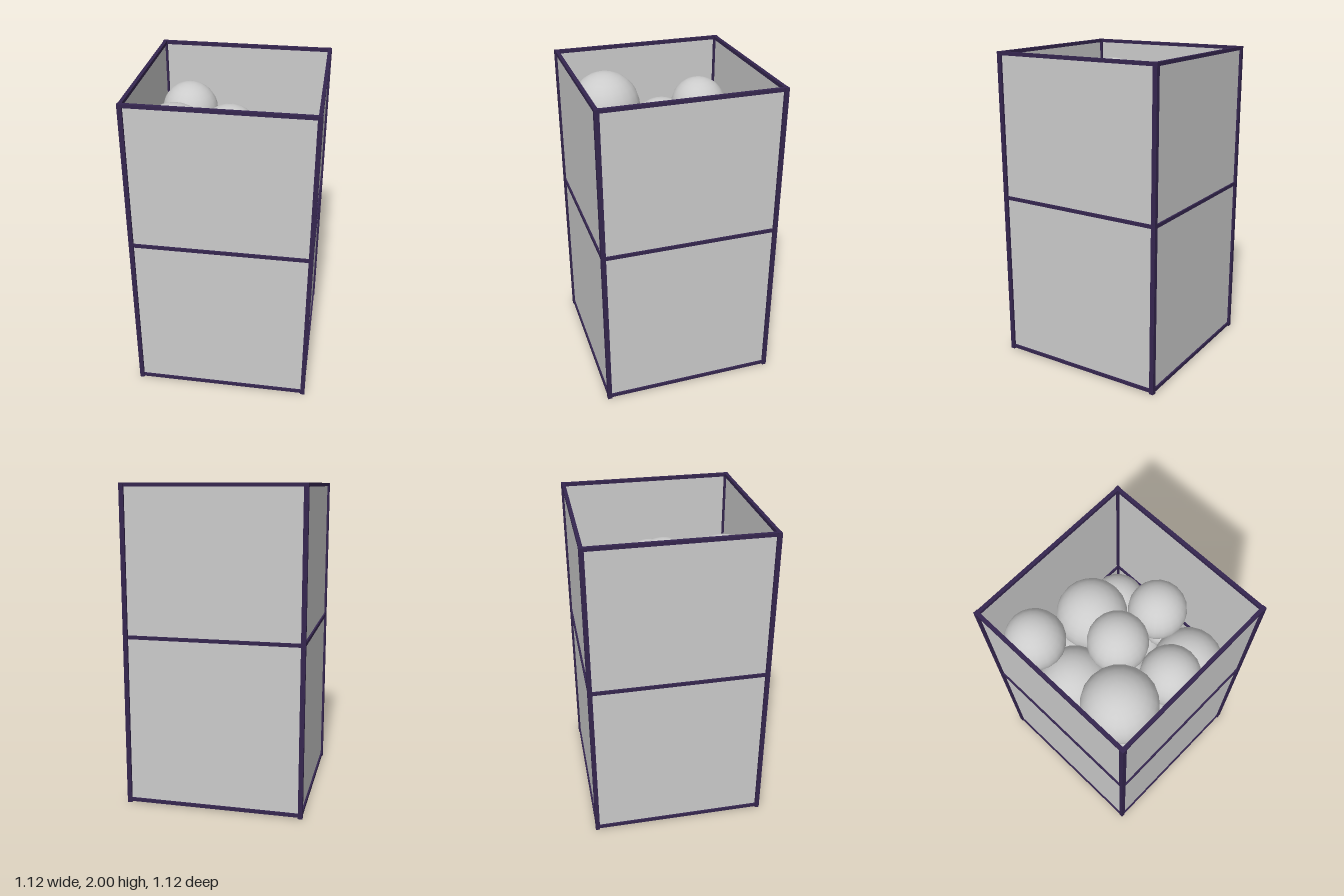
import * as THREE from 'three';

const H = 0.547; // half-width to the centre line of the frame

export function createModel() {
  const model = new THREE.Group();
  const frameMat = new THREE.MeshStandardMaterial({ color: 0x35264f });
  const wallMat = new THREE.MeshStandardMaterial({ color: 0xcccccc, side: THREE.DoubleSide });
  const ballMat = new THREE.MeshStandardMaterial({ color: 0xcccccc });

  const add = (name, geometry, material, x, y, z, turn = 0) => {
    const mesh = new THREE.Mesh(geometry, material);
    mesh.name = name;
    mesh.position.set(x, y, z);
    mesh.rotation.y = turn;
    model.add(mesh);
    return mesh;
  };

  // Four thin walls with rails at bottom, middle and top; open above and below
  const wallGeo = new THREE.PlaneGeometry(2 * H, 1.97);
  const railGeo = new THREE.BoxGeometry(2 * H, 0.022, 0.022);
  const postGeo = new THREE.BoxGeometry(0.028, 2, 0.028);
  for (let i = 0; i < 4; i++) {
    const turn = i * Math.PI / 2;
    const x = Math.sin(turn) * H, z = Math.cos(turn) * H;
    add('wall', wallGeo, wallMat, x, 1.004, z, turn);
    for (const y of [0.019, 1.075, 1.989]) add('rail', railGeo, frameMat, x, y, z, turn);
    add('cornerPost', postGeo, frameMat, i % 2 ? H : -H, 1, i < 2 ? H : -H);
  }

  // Loose balls filling the bin: x, y, z, radius
  const layers = {
    bottomBall: [
      [-0.42, 0.13, -0.06, 0.11], [0.06, 0.13, -0.13, 0.107], [0.07, 0.13, 0.11, 0.107],
      [-0.16, 0.13, 0.06, 0.107], [-0.02, 0.13, 0.32, 0.107], [-0.31, 0.2, 0.35, 0.185],
      [0.31, 0.24, 0.31, 0.226], [0.34, 0.2, -0.18, 0.185], [-0.14, 0.2, -0.34, 0.185],
      [-0.3, 0.3, 0.05, 0.11],
    ],
    middleBall: [
      [-0.31, 0.6, -0.3, 0.226], [0.33, 0.72, -0.17, 0.2], [-0.31, 0.62, 0.31, 0.226],
      [0, 0.55, 0.3, 0.11], [0.05, 0.62, -0.39, 0.14], [0, 0.42, 0.05, 0.14],
      [0.31, 0.72, 0.28, 0.226], [0.03, 0.93, 0.02, 0.185], [-0.34, 0.93, 0.05, 0.185],
      [-0.14, 1.02, -0.35, 0.185], [-0.1, 1.13, 0.35, 0.185], [0.4, 1.08, 0, 0.11],
    ],
    topBall: [
      [-0.35, 1.6, -0.36, 0.185], [0.07, 1.37, -0.315, 0.226], [-0.025, 1.61, 0.005, 0.185],
      [0.35, 1.45, -0.015, 0.185], [-0.31, 1.675, 0.295, 0.226], [0.065, 1.515, 0.35, 0.185],
      [0.31, 1.19, 0.305, 0.226], [0.35, 1.07, -0.36, 0.185], [-0.31, 1.3, -0.09, 0.226],
    ],
  };
  const ballGeo = new THREE.SphereGeometry(1, 20, 14);
  for (const [name, balls] of Object.entries(layers)) {
    for (const [x, y, z, r] of balls) add(name, ballGeo, ballMat, x, y, z).scale.setScalar(r);
  }

  return model;
}
